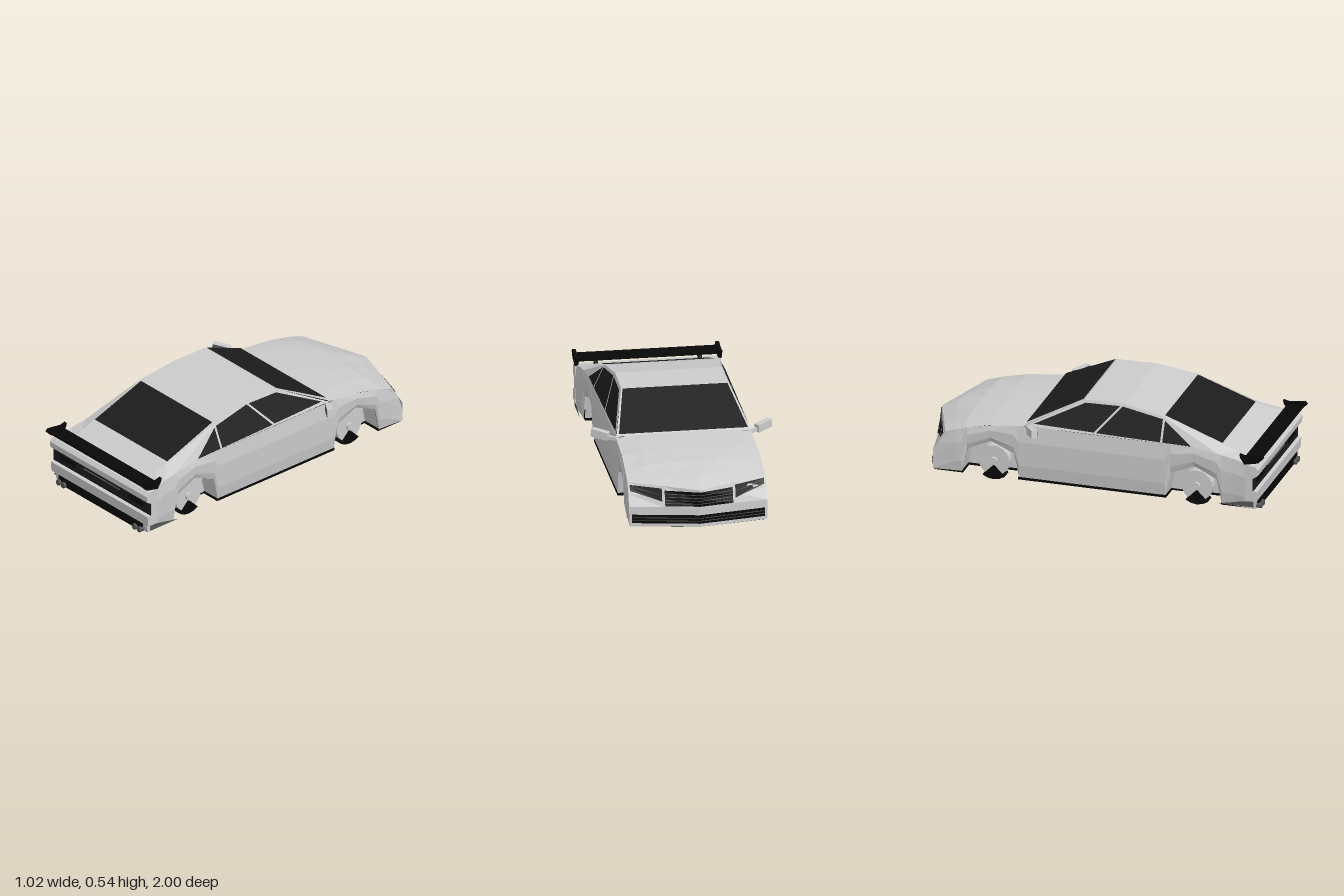
import * as THREE from 'three';

const mat = (color) => new THREE.MeshStandardMaterial({ color, flatShading: true, side: THREE.DoubleSide });
const paint = mat(0xcccccc), glass = mat(0x1c1c1c), black = mat(0x080808), trim = mat(0x555555);

// piecewise linear lookup in rows of [key, value, ...]
function lookup(table, k, col = 1) {
  let i = 1;
  while (i < table.length - 1 && k > table[i][0]) i++;
  const a = table[i - 1], b = table[i];
  const t = THREE.MathUtils.clamp((k - a[0]) / (b[0] - a[0]), 0, 1);
  return a[col] + (b[col] - a[col]) * t;
}

// faceted sheet from rows of [x, y, z] points
function sheet(rows) {
  const v = [];
  for (let i = 0; i + 1 < rows.length; i++)
    for (let j = 0; j + 1 < rows[i].length; j++) {
      const a = rows[i][j], b = rows[i][j + 1], c = rows[i + 1][j + 1], d = rows[i + 1][j];
      v.push(...a, ...b, ...c, ...a, ...c, ...d);
    }
  const g = new THREE.BufferGeometry();
  g.setAttribute('position', new THREE.Float32BufferAttribute(v, 3));
  g.computeVertexNormals();
  return g;
}

const toShape = (pts) => new THREE.Shape(pts.map(([a, b]) => new THREE.Vector2(a, b)));

// flat outline of [z, y] points laid on a surface x = rule(y)
function sidePanel(pts, rule) {
  const g = new THREE.ShapeGeometry(toShape(pts));
  const p = g.attributes.position;
  for (let i = 0; i < p.count; i++) p.setXYZ(i, rule(p.getY(i)), p.getY(i), p.getX(i));
  g.computeVertexNormals();
  return g;
}

// outline of [z, y] points extruded across x from x0 to x1
function acrossX(pts, x0, x1) {
  const g = new THREE.ExtrudeGeometry(toShape(pts.map(([z, y]) => [-z, y])), { depth: x1 - x0, bevelEnabled: false });
  return g.rotateY(Math.PI / 2).translate(x0, 0, 0);
}

// shoulder line: z, x, y
const SHOULDER = [[-0.846, 0.385, 0.279], [-0.79, 0.383, 0.297], [-0.75, 0.382, 0.31], [-0.6, 0.378, 0.345],
  [-0.39, 0.377, 0.367], [0, 0.378, 0.365], [0.585, 0.378, 0.365], [0.73, 0.385, 0.345], [0.82, 0.39, 0.33], [0.9, 0.4, 0.312]];
const ARCH = [[-0.165, 0.05], [-0.135, 0.19], [0, 0.25], [0.135, 0.19], [0.165, 0.05]];
const AXLES = [-0.59, 0.585];
const archAt = (c) => ARCH.map(([z, y]) => [c + z, y]);
const LOWER = [[-1, 0.05], ...archAt(AXLES[0]), ...archAt(AXLES[1]), [1, 0.05]];

const cabinX = (y) => 0.378 - 0.46 * (y - 0.365);

// pointed nose: z of the front surface
function noseZ(x, y) {
  const a = Math.abs(x);
  const t = THREE.MathUtils.clamp((y - 0.16) / (0.1 + 0.05 * a), 0, 1);
  return -0.99 + 0.18 * a + 0.19 * a * t;
}
const hoodEdgeY = (x) => 0.26 + 0.05 * Math.abs(x);

export function createModel() {
  const car = new THREE.Group();
  const add = (name, geo, material, parent = car) => {
    const m = new THREE.Mesh(geo, material);
    m.name = name;
    parent.add(m);
    return m;
  };
  const box = (name, w, h, d, x, y, z, material) => {
    const m = add(name, new THREE.BoxGeometry(w, h, d), material);
    m.position.set(x, y, z);
    return m;
  };

  // hood, crowned between the shoulders
  const hoodXs = [-1, -0.7, -0.35, 0, 0.35, 0.7, 1];
  const hoodRows = [[-0.39, 0, 0.38], [-0.6, 0, 0.366], [-0.75, 0, 0.345], [-0.9, 0.286, 0.305]].map(([z0, sweep, yc]) => {
    const ze = z0 + sweep * 0.383, w = lookup(SHOULDER, ze, 1), ye = lookup(SHOULDER, ze, 2);
    return hoodXs.map((u) => [u * w, ye + (yc - ye) * (1 - Math.abs(u) ** 3), z0 + sweep * Math.abs(u * w)]);
  });
  hoodRows.push(hoodXs.map((u) => [u * 0.385, hoodEdgeY(u * 0.385), noseZ(u * 0.385, 0.4)]));
  add('hood', sheet(hoodRows), paint);

  // nose and its dark openings
  const nosePatch = (xs, low, high, off) => sheet([0, 0.5, 1].map((t) => xs.map((x) => {
    const y = low(Math.abs(x)) * (1 - t) + high(Math.abs(x)) * t;
    return [x, y, noseZ(x, y) - off];
  })));
  const full = [-0.385, -0.2, 0, 0.2, 0.385];
  add('noseLower', nosePatch(full, () => 0.045, () => 0.16, 0), paint);
  add('noseUpper', nosePatch(full, () => 0.16, hoodEdgeY, 0), paint);
  const opening = (name, w, y0, y1, slats) => {
    add(name, nosePatch([-w, 0, w], () => y0, () => y1, 0.004), black);
    for (let i = 1; i <= slats; i++) {
      const y = y0 + (y1 - y0) * i / (slats + 1);
      add(name + 'Slat', nosePatch([-w, 0, w], () => y - 0.002, () => y + 0.002, 0.008), trim);
    }
  };
  opening('grille', 0.19, 0.165, 0.248, 4);
  opening('lowerIntake', 0.37, 0.065, 0.115, 2);

  // roof and glazing
  const roofPts = [[-0.39, 0.372], [-0.07, 0.535], [0.16, 0.54], [0.39, 0.5]];
  add('roof', sheet(roofPts.map(([z, y]) => [[-cabinX(y), y, z], [cabinX(y), y, z]])), paint);
  add('windshield', sheet([[[-0.36, 0.386, -0.385], [0.36, 0.386, -0.385]],
    [[-0.293, 0.536, -0.078], [0.293, 0.536, -0.078]]]), glass);
  add('rearFrame', sheet([[[-cabinX(0.5), 0.5, 0.39], [cabinX(0.5), 0.5, 0.39]], [[-0.31, 0.375, 0.73], [0.31, 0.375, 0.73]]]), paint);
  add('rearWindow', sheet([[[-0.3, 0.502, 0.397], [0.3, 0.502, 0.397]], [[-0.305, 0.38, 0.73], [0.305, 0.38, 0.73]]]), glass);

  // rear deck and bumper
  add('rearDeck', sheet([[0.73, 0.375], [0.82, 0.345], [0.9, 0.314]].map(([z, y]) => {
    const x = lookup(SHOULDER, z, 1), ys = lookup(SHOULDER, z, 2);
    return [[-x, ys, z], [-0.31, y, z], [0.31, y, z], [x, ys, z]];
  })), paint);
  add('rearBumper', acrossX([[0.89, 0.313], [0.95, 0.305], [0.968, 0.285], [0.965, 0.25], [0.935, 0.232],
    [0.935, 0.16], [0.962, 0.155], [0.957, 0.095], [0.89, 0.095]], -0.408, 0.408), paint);
  add('lowerValance', acrossX([[0.88, 0.1], [0.95, 0.1], [0.94, 0.042], [0.88, 0.042]], -0.383, 0.383), paint);
  box('tailPanel', 0.814, 0.07, 0.02, 0, 0.195, 0.932, glass);
  box('tailTrim', 0.3, 0.006, 0.006, 0, 0.214, 0.944, trim);
  box('diffuser', 0.7, 0.056, 0.02, 0, 0.068, 0.946, black);

  // floor with wheel notches
  const half = [[0.375, -0.915], ...AXLES.flatMap((c) => [[0.375, c - 0.16], [0.26, c - 0.16], [0.26, c + 0.16], [0.375, c + 0.16]]), [0.375, 0.94]];
  const outline = [[0, -0.98], ...half, ...half.map(([x, z]) => [-x, z]).reverse()];
  add('floor', new THREE.ExtrudeGeometry(toShape(outline), { depth: 0.014, bevelEnabled: false })
    .rotateX(Math.PI / 2).translate(0, 0.055, 0), black);

  // spoiler blade
  add('spoilerBlade', acrossX([[0.98, 0.357], [0.885, 0.35], [0.885, 0.338], [0.98, 0.343]], -0.405, 0.405), black);

  const columns = [-0.846, -0.79, ...archAt(AXLES[0]).map((p) => p[0]), -0.2, 0, 0.2, ...archAt(AXLES[1]).map((p) => p[0]), 0.82, 0.9];
  for (const s of [1, -1]) {
    const side = new THREE.Group();
    side.name = s > 0 ? 'leftSide' : 'rightSide';
    car.add(side);
    const put = (name, geo, material) => add(name, geo, material, side);
    const flip = (pts) => pts.map(([x, y, z]) => [s * x, y, z]);

    // lower body, its bottom edge following the wheel arches
    put('bodySide', sheet(columns.map((z, i) => {
      const xs = lookup(SHOULDER, z, 1), ys = lookup(SHOULDER, z, 2), yb = lookup(LOWER, z);
      return flip([[0, xs - 0.006], [0.25, xs + 0.006], [0.7, xs + 0.01], [1, xs]].map(([t, x]) => {
        const y = yb + (ys - yb) * t;
        return i === 0 ? [0.385, y, noseZ(0.385, y)] : [x, y, z];
      }));
    })), paint);

    // cabin side, quarter panel and windows
    put('cabinSide', sidePanel([[-0.39, 0.367], [-0.07, 0.535], [0.16, 0.54], [0.39, 0.5], [0.585, 0.365]], (y) => s * cabinX(y)), paint);
    const belt = [0.378, 0.365, 0.585], deck = [0.31, 0.375, 0.73];
    put('quarterPanel', sheet([flip([[cabinX(0.5), 0.5, 0.39], deck]), flip([belt, [0.385, 0.345, 0.73]]), flip([belt, deck])]), paint);
    const windows = {
      frontSideWindow: [[0.006, 0.378], [-0.34, 0.385], [-0.06, 0.522], [0.138, 0.526]],
      rearSideWindow: [[0.022, 0.376], [0.153, 0.526], [0.392, 0.487], [0.392, 0.37]],
      quarterWindow: [[0.405, 0.37], [0.405, 0.482], [0.57, 0.368]],
    };
    for (const [name, pts] of Object.entries(windows)) put(name, sidePanel(pts, (y) => s * (cabinX(y) + 0.004)), glass);

    // headlight and rear side vent
    put('headlight', nosePatch([0.205 * s, 0.375 * s], (a) => 0.19 + 0.28 * (a - 0.205), (a) => hoodEdgeY(a) - 0.012, 0.005), glass);
    put('sideVent', sidePanel([[0.74, 0.06], [0.94, 0.06], [0.94, 0.098], [0.86, 0.085]], () => s * 0.404), trim);

    // wheel wells and wheels
    for (const c of AXLES) {
      const pts = archAt(c);
      put('wheelWell', sheet(pts.map(([z, y]) => flip([[0.374, y, z], [0.26, y, z]]))), paint);
      put('wellWall', sidePanel(pts, () => s * 0.26), paint);
      const disc = (name, r, w, x, material) => {
        const m = put(name, new THREE.CylinderGeometry(r, r, w, 20).rotateZ(Math.PI / 2), material);
        m.position.set(s * x, 0.11, c);
      };
      disc('wheel', 0.09, 0.05, 0.29, paint);
      disc('hub', 0.022, 0.02, 0.322, paint);
      const wedge = [[c, 0.085], ...[-0.62, -0.3, 0, 0.3, 0.62].map((a) => [c + 0.11 * Math.sin(a), 0.11 - 0.11 * Math.cos(a)])];
      put('tyre', acrossX(wedge, s > 0 ? 0.248 : -0.322, s > 0 ? 0.322 : -0.248), black);
    }

    // door mirror
    const head = put('mirror', new THREE.BoxGeometry(0.1, 0.045, 0.035), paint);
    head.position.set(s * 0.455, 0.37, -0.325);
    head.rotation.set(0, -s * 0.6, s * 0.12);
    const face = add('mirrorGlass', new THREE.BoxGeometry(0.092, 0.04, 0.004), trim, head);
    face.position.z = 0.018;
    const arm = put('mirrorArm', new THREE.BoxGeometry(0.06, 0.02, 0.02), paint);
    arm.position.set(s * 0.39, 0.357, -0.365);
    arm.rotation.y = -s * 0.6;

    // spoiler end plate and strut
    const plate = put('spoilerEnd', acrossX([[1, 0.362], [0.97, 0.33], [0.89, 0.312], [0.865, 0.35], [0.86, 0.37], [0.89, 0.362], [0.985, 0.375]], -0.01, 0.01), black);
    plate.position.x = s * 0.4;
    const strut = put('spoilerStrut', acrossX([[0.94, 0.345], [0.89, 0.345], [0.88, 0.305], [0.92, 0.305]], -0.01, 0.01), black);
    strut.position.x = s * 0.29;

    // tail lamp and twin exhaust pipes
    box('tailLamp', 0.13, 0.03, 0.006, s * 0.285, 0.207, 0.943, black);
    for (const x of [0.3, 0.34]) {
      const pipe = put('exhaustPipe', new THREE.CylinderGeometry(0.017, 0.017, 0.08, 10).rotateX(Math.PI / 2), trim);
      pipe.position.set(s * x, 0.052, 0.93);
    }
  }
  return car;
}
